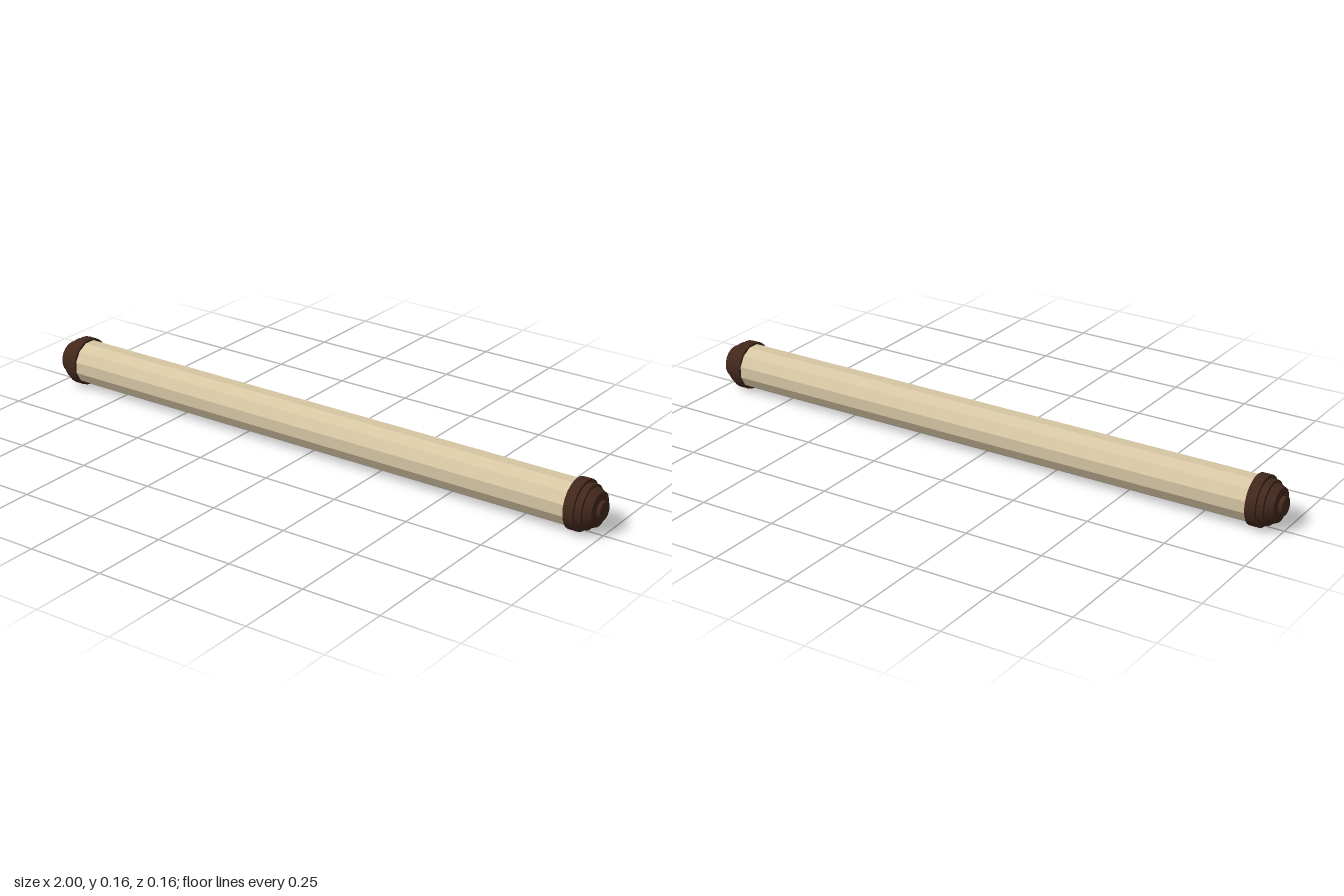
import * as THREE from 'three';

const paper = new THREE.MeshStandardMaterial({ color: 0xd6c5a3, flatShading: true });
const wood = new THREE.MeshStandardMaterial({ color: 0x42271b, flatShading: true });
const CENTRE_Y = 0.079;

// Stepped, turned end knob: [radius, x] from the inner face to the tip
const knobProfile = [
  [0, 0.908], [0.078, 0.908], [0.078, 0.94], [0.068, 0.94], [0.068, 0.96],
  [0.06, 0.962], [0.06, 0.967], [0.052, 0.985], [0.028, 0.988], [0.028, 1], [0, 1],
].map(([r, x]) => new THREE.Vector2(r, x));

export function createModel() {
  const group = new THREE.Group();
  group.name = 'scroll';

  // Rolled sheet, twelve flat sides with one facing forward
  const rollGeometry = new THREE.CylinderGeometry(0.0715, 0.0715, 1.82, 12);
  rollGeometry.rotateY(Math.PI / 12).rotateZ(-Math.PI / 2);
  const roll = new THREE.Mesh(rollGeometry, paper);
  roll.name = 'paperRoll';
  roll.position.y = CENTRE_Y;
  group.add(roll);

  // Matching knobs at both ends
  const knobGeometry = new THREE.LatheGeometry(knobProfile, 24);
  for (const [name, side] of [['leftKnob', 1], ['rightKnob', -1]]) {
    const knob = new THREE.Mesh(knobGeometry, wood);
    knob.name = name;
    knob.rotation.z = -side * Math.PI / 2;
    knob.position.y = CENTRE_Y;
    group.add(knob);
  }
  return group;
}
